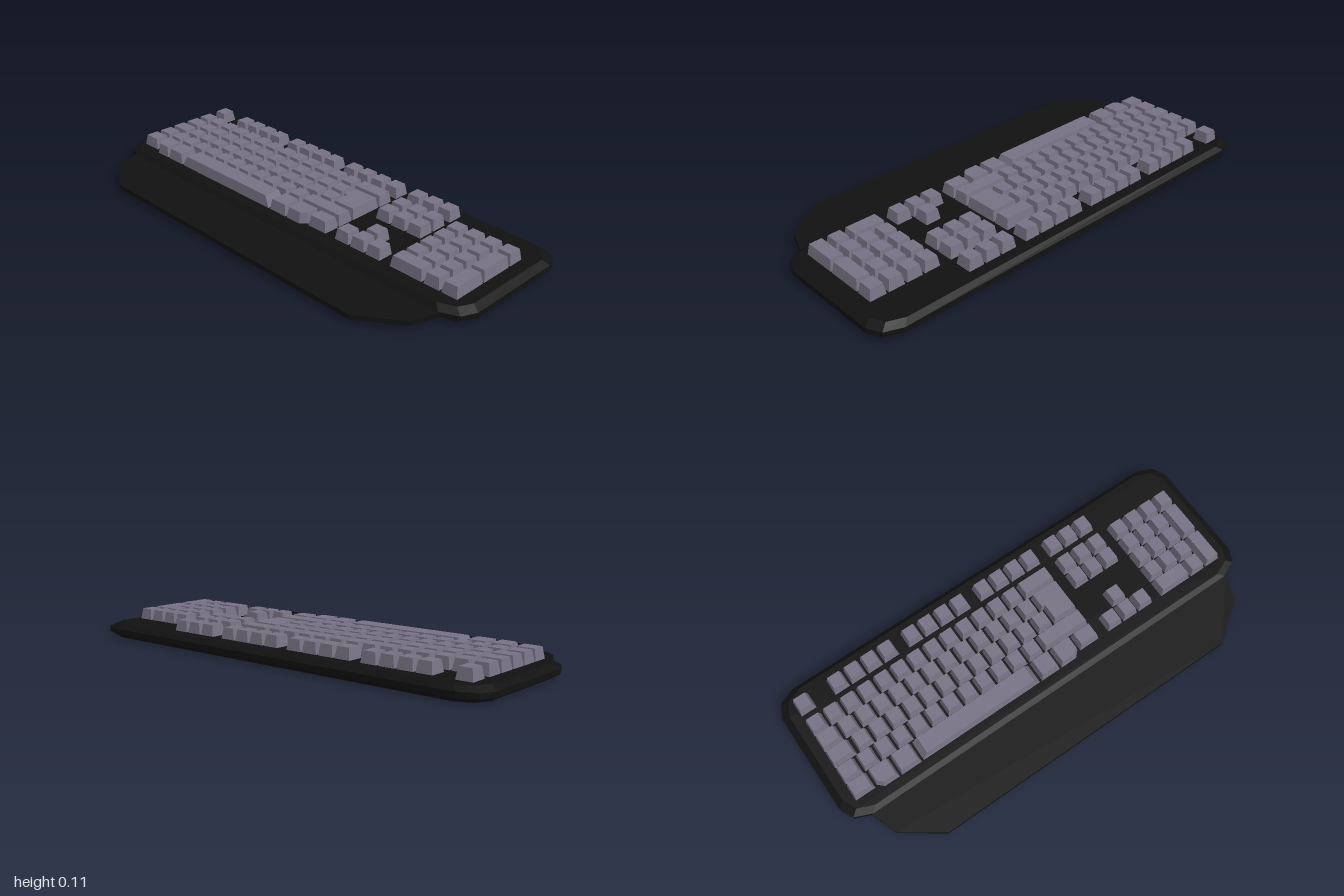
import * as THREE from 'three';

const bodyMat = new THREE.MeshStandardMaterial({ color: 0x111111, flatShading: true });
const keyMat = new THREE.MeshStandardMaterial({ color: 0x777284, flatShading: true });

// Stacks a footprint of [x, z] corners (counter-clockwise from above) at levels
// [y, insetX, insetZ], insets shrinking it towards its centre.
function loft(footprint, levels) {
  const box = new THREE.Box2().setFromPoints(footprint.map(p => new THREE.Vector2(...p)));
  const c = box.getCenter(new THREE.Vector2()), s = box.getSize(new THREE.Vector2());
  const rings = levels.map(([y, ix, iz]) => footprint.map(([x, z]) => [
    c.x + (x - c.x) * (1 - 2 * ix / s.x), y, c.y + (z - c.y) * (1 - 2 * iz / s.y)]));
  const pos = [], n = footprint.length;
  const tri = (a, b, d) => pos.push(...a, ...b, ...d);
  for (let k = 0; k + 1 < rings.length; k++) {
    const lo = rings[k], hi = rings[k + 1];
    for (let i = 0; i < n; i++) {
      const j = (i + 1) % n;
      tri(lo[i], lo[j], hi[j]);
      tri(lo[i], hi[j], hi[i]);
    }
  }
  const caps = THREE.ShapeUtils.triangulateShape(footprint.map(([x, z]) => new THREE.Vector2(x, -z)), []);
  const top = rings[rings.length - 1], bottom = rings[0];
  for (const [a, b, d] of caps) {
    tri(top[a], top[b], top[d]);
    tri(bottom[a], bottom[d], bottom[b]);
  }
  const g = new THREE.BufferGeometry();
  g.setAttribute('position', new THREE.Float32BufferAttribute(pos, 3));
  g.computeVertexNormals();
  return g;
}

// Completes a left-hand outline (back to front) with its mirror image
const mirrored = half => [...half, ...half.map(([x, z]) => [-x, z]).reverse()];

function addMesh(parent, name, geometry, material) {
  const m = new THREE.Mesh(geometry, material);
  m.name = name;
  parent.add(m);
}

// Key grid: column positions in key units, row centres in z
const UNIT = 0.0806, X0 = -0.932, GAP = 0.005, HALF = 0.036;
const ROWS = [-0.337, -0.233, -0.152, -0.072, 0.008, 0.087];
const colX = u => X0 + u * UNIT;
const rect = (x0, x1, z0, z1) => [[x0, z0], [x0, z1], [x1, z1], [x1, z0]];

function addKeyShape(parent, name, footprint, insetX = 0.008) {
  addMesh(parent, name, loft(footprint, [[0.063, 0, 0], [0.11, insetX, 0.007]]), keyMat);
  addMesh(parent, name + 'Stem', loft(footprint, [[0.05, 0.012, 0.012], [0.064, 0.012, 0.012]]), bodyMat);
}

function addKey(parent, name, u, width, row, lastRow = row) {
  addKeyShape(parent, name, rect(colX(u) + GAP, colX(u + width) - GAP, ROWS[row] - HALF, ROWS[lastRow] + HALF));
}

function addRun(parent, u, count, row) {
  for (let i = 0; i < count; i++) addKey(parent, 'key', u + i, 1, row);
}

function section(parent, name) {
  const g = new THREE.Group();
  g.name = name;
  parent.add(g);
  return g;
}

export function createModel() {
  const model = new THREE.Group();
  model.name = 'keyboard';

  // Bevelled case with cut corners
  const caseOutline = mirrored([[-0.9, -0.435], [-0.972, -0.405], [-1, -0.345],
    [-1, 0.105], [-0.972, 0.168], [-0.9, 0.2]]);
  addMesh(model, 'case', loft(caseOutline,
    [[0, 0.03, 0.021], [0.018, 0, 0], [0.04, 0, 0], [0.058, 0.03, 0.021]]), bodyMat);

  // Thin wrist rest
  const restOutline = mirrored([[-0.91, 0.17], [-0.905, 0.2], [-0.865, 0.315], [-0.695, 0.435]]);
  addMesh(model, 'wristRest', loft(restOutline, [[0.019, 0, 0], [0.039, 0, 0]]), bodyMat);

  // Back row
  const backRow = section(model, 'backRowKeys');
  for (const [u, count] of [[0, 1], [2, 4], [6.5, 4], [11, 4]]) addRun(backRow, u, count, 0);

  // Main block
  const main = section(model, 'mainKeys');
  addRun(main, 0, 13, 1);
  addKey(main, 'backspaceKey', 13, 2, 1);
  addKey(main, 'tabKey', 0, 1.25, 2);
  addRun(main, 1.25, 12, 2);
  addKey(main, 'capsKey', 0, 1.4, 3);
  addRun(main, 1.45, 12, 3);
  addKey(main, 'leftShiftKey', 0, 1.15, 4);
  addRun(main, 1.15, 11, 4);
  addKey(main, 'rightShiftKey', 12.15, 2.85, 4);

  // Stepped enter key across two rows
  const ex0 = colX(13.25) + GAP, ex1 = colX(13.45) + GAP, ex2 = colX(15) - GAP;
  const step = ROWS[2] + HALF;
  addKeyShape(main, 'enterKey', [[ex0, ROWS[2] - HALF], [ex0, step], [ex1, step],
    [ex1, ROWS[3] + HALF], [ex2, ROWS[3] + HALF], [ex2, ROWS[2] - HALF]]);

  // Bottom row: longer middle keys, outermost ones with a clipped front corner
  addKey(main, 'controlKey', 0, 1.25, 5);
  addKey(main, 'controlKey', 13.7, 1.3, 5);
  const zb = ROWS[5] - HALF, zf = 0.14, clip = 0.025;
  const span = (u0, u1) => [colX(u0) + GAP, colX(u1) - GAP];
  const [a0, a1] = span(1.25, 2.55), [b0, b1] = span(12.35, 13.7);
  addKeyShape(main, 'modifierKey', [[a0, zb], [a0, zf - clip], [a0 + clip, zf], [a1, zf], [a1, zb]]);
  addKeyShape(main, 'modifierKey', [[b0, zb], [b0, zf], [b1 - clip, zf], [b1, zf - clip], [b1, zb]]);
  for (const [u0, u1] of [[2.55, 3.85], [11.1, 12.35]])
    addKeyShape(main, 'modifierKey', rect(...span(u0, u1), zb, zf));
  addKeyShape(main, 'spaceBar', rect(...span(3.85, 11.1), zb, zf), 0.025);

  // Navigation block and arrows
  const nav = section(model, 'navigationKeys'), NAV = 15.53;
  for (const row of [0, 1, 2, 5]) addRun(nav, NAV, 3, row);
  addRun(nav, NAV + 1, 1, 4);

  // Number pad
  const pad = section(model, 'numberPad'), PAD = 19.04;
  addRun(pad, PAD, 4, 1);
  for (const row of [2, 3, 4]) addRun(pad, PAD, 3, row);
  addKey(pad, 'zeroKey', PAD, 2, 5);
  addRun(pad, PAD + 2, 1, 5);
  addKey(pad, 'plusKey', PAD + 3, 1, 2, 3);
  addKey(pad, 'padEnterKey', PAD + 3, 1, 4, 5);

  return model;
}
